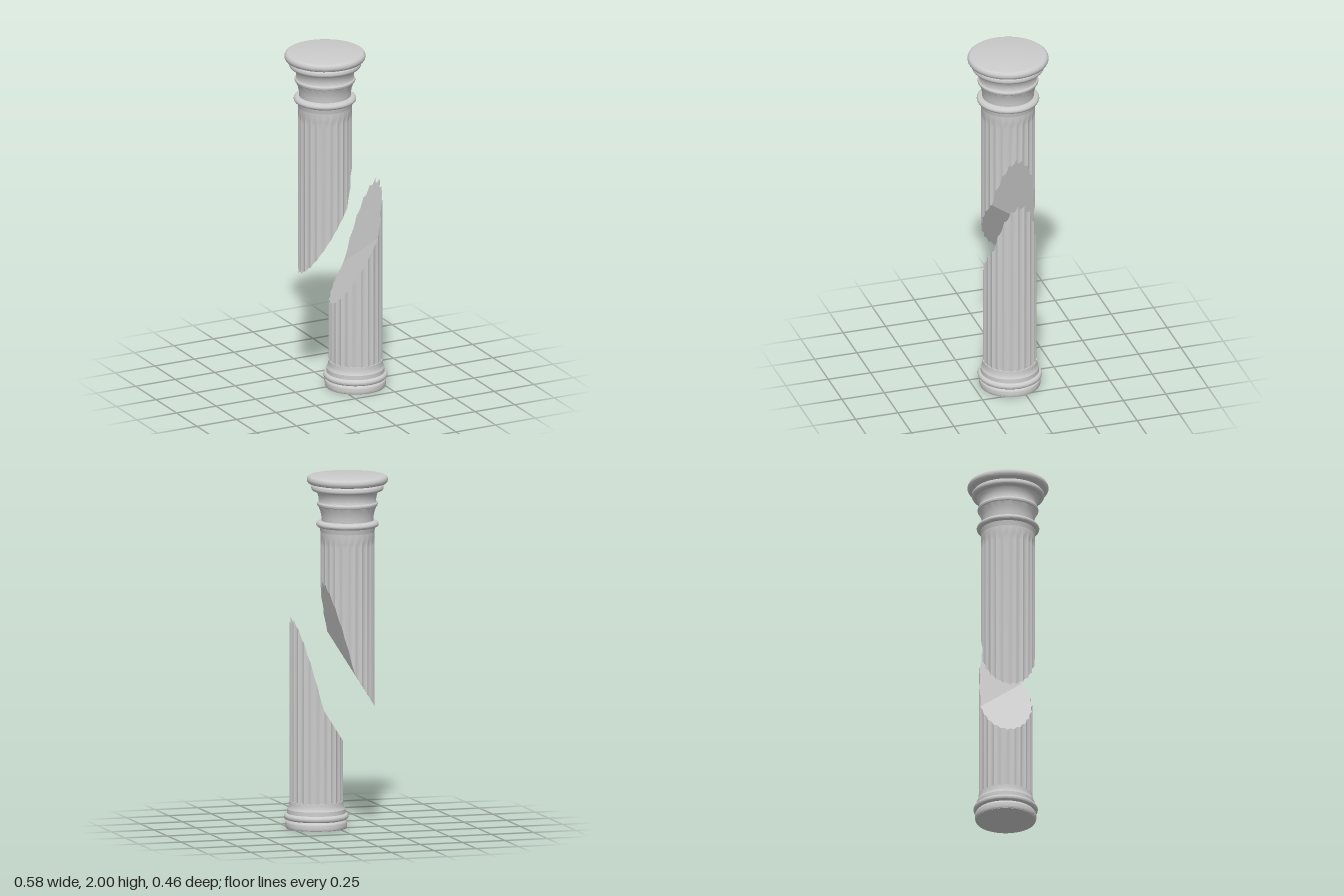
import * as THREE from 'three';
import { toCreasedNormals } from 'three/addons/utils/BufferGeometryUtils.js';

const RADIUS = 0.151, FLUTES = 24, STEPS = 4, DEPTH = 0.008;
const material = new THREE.MeshStandardMaterial({ color: 0xcccccc });

// The break is two planes meeting at a fold; heights over the column's own axis
const steep = (x, z) => 0.834 + 3.777 * x - 0.294 * z;
const shallow = (x, z) => 0.934 + 1.56 * x + 0.348 * z;
const breakHeight = (x, z) => Math.max(steep(x, z), shallow(x, z));
const side = ([x, z]) => steep(x, z) - shallow(x, z);

// Fluted outline [x, z], with extra points where the fold crosses it
function flutedOutline() {
  const raw = [], out = [], n = FLUTES * STEPS;
  for (let i = 0; i < n; i++) {
    const a = (i / n) * Math.PI * 2;
    const r = RADIUS - DEPTH * Math.sin(((i % STEPS) / STEPS) * Math.PI);
    raw.push([Math.sin(a) * r, Math.cos(a) * r]);
  }
  raw.forEach((p, i) => {
    const q = raw[(i + 1) % n], s = side(p), t = side(q);
    out.push({ p, fold: false });
    if (s * t < 0) {
      const k = s / (s - t);
      out.push({ p: [p[0] + (q[0] - p[0]) * k, p[1] + (q[1] - p[1]) * k], fold: true });
    }
  });
  return out;
}

function meshFrom(name, triangles, crease) {
  let g = new THREE.BufferGeometry();
  g.setAttribute('position', new THREE.Float32BufferAttribute(triangles, 3));
  g = toCreasedNormals(g, crease);
  const m = new THREE.Mesh(g, material);
  m.name = name;
  return m;
}

// Shaft wall: rows run upward, each giving a height and how deep the flutes are
function shaftWall(outline, rows) {
  const tri = [];
  const point = ({ p: [x, z] }, row) => {
    const k = 1 + (RADIUS / Math.hypot(x, z) - 1) * (1 - row.flute);
    return [x * k, row.y(x, z), z * k];
  };
  outline.forEach((o, i) => {
    const next = outline[(i + 1) % outline.length];
    for (let r = 0; r < rows.length - 1; r++) {
      const a = point(o, rows[r]), b = point(next, rows[r]);
      const c = point(next, rows[r + 1]), d = point(o, rows[r + 1]);
      tri.push(...a, ...b, ...c, ...a, ...c, ...d);
    }
  });
  return meshFrom('flutedShaft', tri, 0.6);
}

// Broken face: a fan around the middle of the fold
function brokenFace(outline, drop, facesUp) {
  const [f, g] = outline.filter((o) => o.fold).map((o) => o.p);
  const at = ([x, z]) => [x, breakHeight(x, z) - drop, z];
  const mid = at([(f[0] + g[0]) / 2, (f[1] + g[1]) / 2]);
  const tri = [];
  outline.forEach((o, i) => {
    const a = at(o.p), b = at(outline[(i + 1) % outline.length].p);
    tri.push(...mid, ...(facesUp ? a : b), ...(facesUp ? b : a));
  });
  return meshFrom('brokenFace', tri, 0.1);
}

// Half-round moulding between two heights, bulging out from radius r
function bead(r, y0, y1, bulge) {
  return Array.from({ length: 9 }, (_, i) => {
    const a = (i / 8 - 0.5) * Math.PI;
    return [r + Math.cos(a) * bulge, (y0 + y1) / 2 + Math.sin(a) * (y1 - y0) / 2];
  });
}

function turned(name, profile) {
  const pts = profile.map(([r, y]) => new THREE.Vector2(r, y));
  const m = new THREE.Mesh(toCreasedNormals(new THREE.LatheGeometry(pts, 48), 0.6), material);
  m.name = name;
  return m;
}

export function createModel() {
  const model = new THREE.Group();
  model.name = 'brokenColumn';
  const outline = flutedOutline();
  const level = (y) => () => y;

  // Hanging upper half with its capital
  const upper = new THREE.Group();
  upper.name = 'upperColumn';
  upper.position.set(-0.062, 0, 0);
  upper.add(
    shaftWall(outline, [
      { y: breakHeight, flute: 1 },
      { y: level(1.6), flute: 1 },
      { y: level(1.63), flute: 0.6 },
      { y: level(1.65), flute: 0 },
      { y: level(1.69), flute: 0 },
    ]),
    brokenFace(outline, 0, false),
    turned('capital', [
      [0.0, 1.68], [0.151, 1.68], [0.157, 1.708],
      ...bead(0.158, 1.708, 1.742, 0.018),
      [0.146, 1.745], [0.147, 1.77], [0.153, 1.8], [0.162, 1.822],
      ...bead(0.164, 1.828, 1.85, 0.007),
      [0.161, 1.856], [0.163, 1.88], [0.169, 1.9], [0.178, 1.912],
      ...bead(0.19, 1.914, 1.95, 0.014),
      ...bead(0.209, 1.954, 2.0, 0.019),
      [0, 2.0],
    ]),
  );

  // Standing lower half with its base
  const lower = new THREE.Group();
  lower.name = 'lowerColumn';
  lower.position.set(0.108, 0, 0.044);
  lower.add(
    shaftWall(outline, [
      { y: level(0.15), flute: 1 },
      { y: (x, z) => breakHeight(x, z) - 0.2, flute: 1 },
    ]),
    brokenFace(outline, 0.2, true),
    turned('base', [
      [0, 0], [0.168, 0],
      ...bead(0.168, 0.002, 0.042, 0.005),
      [0.162, 0.05],
      ...bead(0.169, 0.052, 0.083, 0.012),
      [0.164, 0.086], [0.163, 0.11], [0.157, 0.118], [0.153, 0.135], [0.152, 0.155],
      [0, 0.155],
    ]),
  );

  model.add(upper, lower);
  return model;
}
